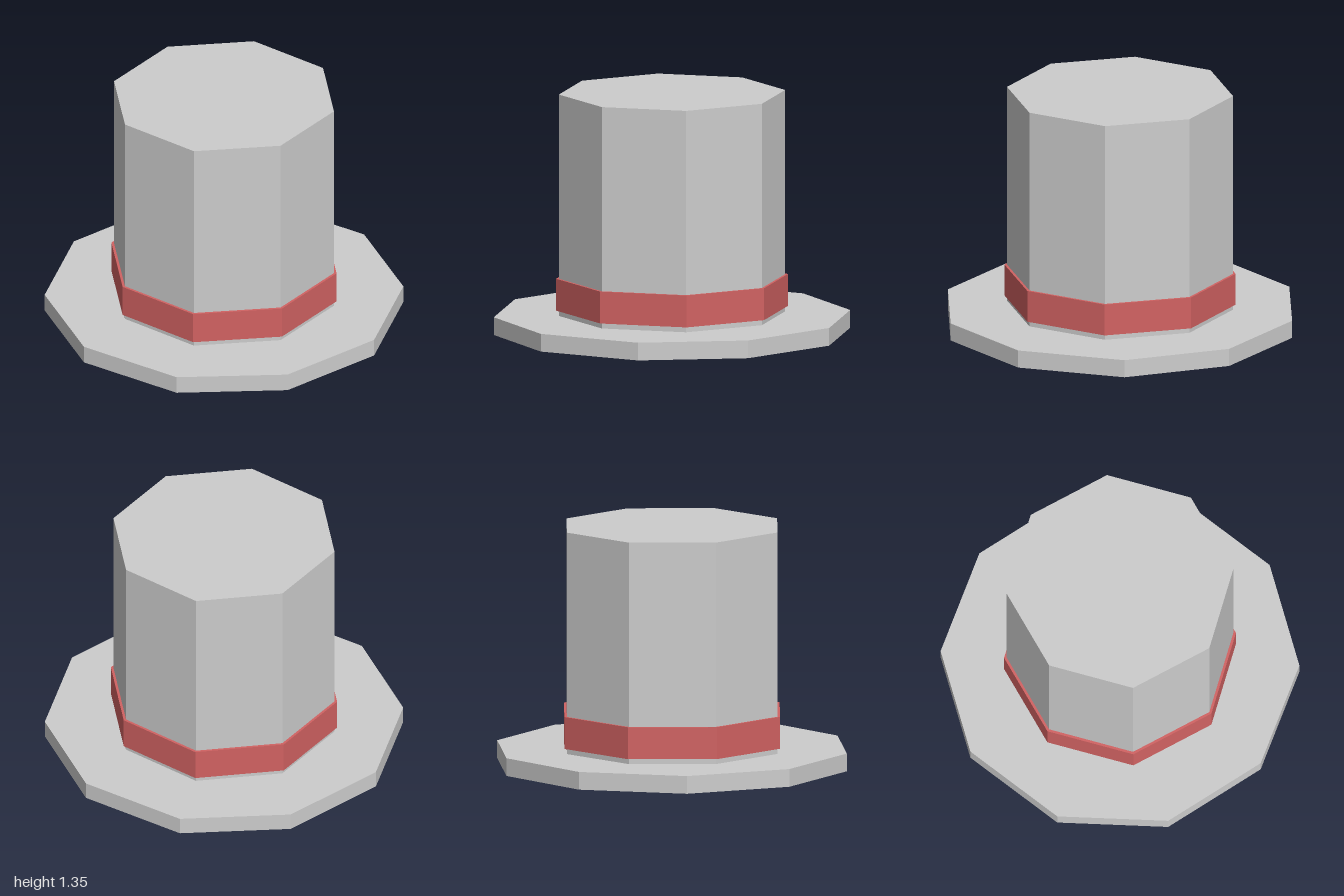
import * as THREE from 'three';

export function createModel() {
  const felt = new THREE.MeshStandardMaterial({ color: 0xcccccc, flatShading: true });
  felt.name = 'grey felt';
  const ribbon = new THREE.MeshStandardMaterial({ color: 0xd16262, flatShading: true });
  ribbon.name = 'red ribbon';

  const hat = new THREE.Group();
  hat.name = 'topHat';

  // Upright prism between two heights, with a corner facing +z
  const prism = (name, radius, bottom, top, sides, material) => {
    const geometry = new THREE.CylinderGeometry(radius, radius, top - bottom, sides);
    geometry.translate(0, (bottom + top) / 2, 0);
    const mesh = new THREE.Mesh(geometry, material);
    mesh.name = name;
    hat.add(mesh);
  };

  prism('brim', 1, 0, 0.1, 10, felt);
  prism('crown', 0.635, 0.1, 1.35, 8, felt);
  prism('hatBand', 0.65, 0.13, 0.31, 8, ribbon);

  return hat;
}
